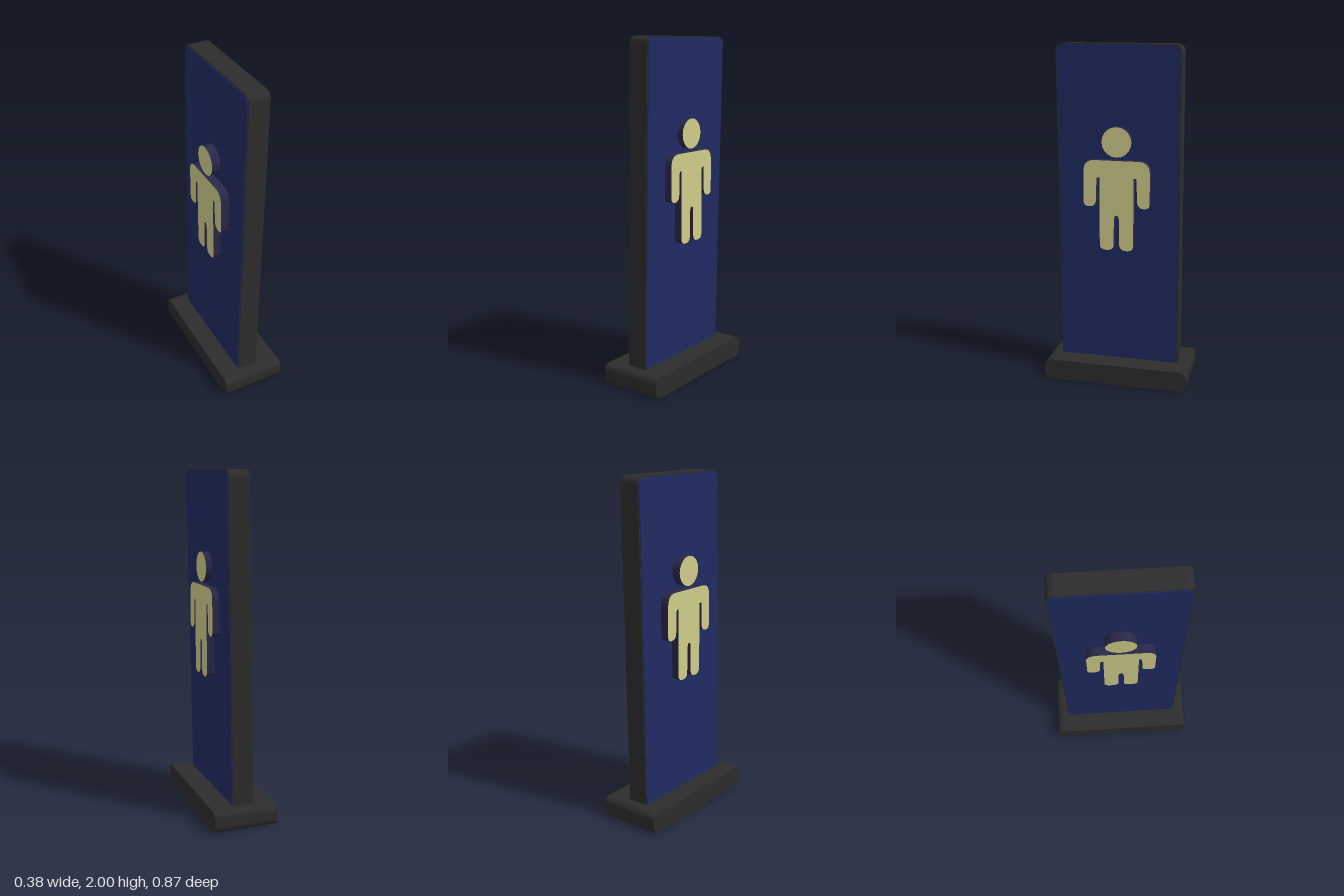
import * as THREE from 'three';

const mat = (name, color) => {
  const m = new THREE.MeshStandardMaterial({ color });
  m.name = name;
  return m;
};

// Rectangle with separate corner radii at the bottom and the top
function roundedRect(halfW, y0, y1, rBottom, rTop) {
  const s = new THREE.Shape();
  s.moveTo(-halfW + rBottom, y0);
  s.lineTo(halfW - rBottom, y0);
  s.quadraticCurveTo(halfW, y0, halfW, y0 + rBottom);
  s.lineTo(halfW, y1 - rTop);
  s.quadraticCurveTo(halfW, y1, halfW - rTop, y1);
  s.lineTo(-halfW + rTop, y1);
  s.quadraticCurveTo(-halfW, y1, -halfW, y1 - rTop);
  s.lineTo(-halfW, y0 + rBottom);
  s.quadraticCurveTo(-halfW, y0, -halfW + rBottom, y0);
  return s;
}

// Extrude a side-on outline along x, optionally leaning with height
function slab(name, shape, x0, x1, material, lean = 0) {
  const g = new THREE.ExtrudeGeometry(shape, { depth: x1 - x0, bevelEnabled: false, curveSegments: 10 });
  g.rotateY(Math.PI / 2);
  g.translate(x0, 0, 0);
  if (lean) {
    const p = g.attributes.position;
    for (let i = 0; i < p.count; i++) p.setX(i, p.getX(i) + lean * (p.getY(i) - 0.12));
    g.computeVertexNormals();
  }
  const mesh = new THREE.Mesh(g, material);
  mesh.name = name;
  return mesh;
}

// Standing figure without its head: shoulders, arms, torso and two legs
function bodyShape() {
  const s = new THREE.Shape();
  s.moveTo(0, 1.35);
  s.lineTo(0.13, 1.35);
  s.quadraticCurveTo(0.195, 1.35, 0.195, 1.28);
  s.lineTo(0.195, 1.10);
  s.quadraticCurveTo(0.192, 1.077, 0.16, 1.077);
  s.quadraticCurveTo(0.125, 1.08, 0.122, 1.11);
  s.lineTo(0.117, 1.25);
  s.lineTo(0.1, 1.25);
  s.lineTo(0.1, 0.85);
  s.quadraticCurveTo(0.097, 0.82, 0.06, 0.82);
  s.quadraticCurveTo(0.02, 0.82, 0.017, 0.85);
  s.lineTo(0.015, 1.0);
  s.quadraticCurveTo(0.013, 1.03, 0, 1.03);
  // mirror the finished half
  const half = s.getPoints(6);
  const mirrored = half.slice(1, -1).reverse().map((p) => new THREE.Vector2(-p.x, p.y));
  return new THREE.Shape([...half, ...mirrored]);
}

export function createModel() {
  const model = new THREE.Group();
  model.name = 'signStand';
  const black = mat('charcoal', 0x2c2c2c);
  const blue = mat('navy', 0x1f2a60);
  const cream = mat('cream', 0xcfcc8a);
  const purple = mat('dusk purple', 0x2a2648);
  const lean = 0.0175;

  // Foot plate with rounded ends
  model.add(slab('base', roundedRect(0.435, 0, 0.122, 0.045, 0.045), -0.19, 0.19, black));

  // Upright panel, leaning slightly, with a coloured face on each side
  model.add(slab('panel', roundedRect(0.36, 0.1, 2, 0.001, 0.05), -0.068, 0.054, black, lean));
  const face = () => roundedRect(0.353, 0.11, 1.992, 0.001, 0.047);
  model.add(slab('leftFace', face(), 0.053, 0.058, blue, lean));
  model.add(slab('rightFace', face(), -0.073, -0.067, blue, lean));

  // Raised figure passing through the panel: pale faces, dark sides
  const figure = new THREE.Group();
  figure.name = 'figure';
  figure.add(slab('body', bodyShape(), -0.105, 0.12, [cream, purple]));
  const head = new THREE.Shape();
  head.absarc(0, 1.455, 0.087, 0, Math.PI * 2, false);
  figure.add(slab('head', head, -0.102, 0.118, [cream, purple]));
  model.add(figure);

  return model;
}
